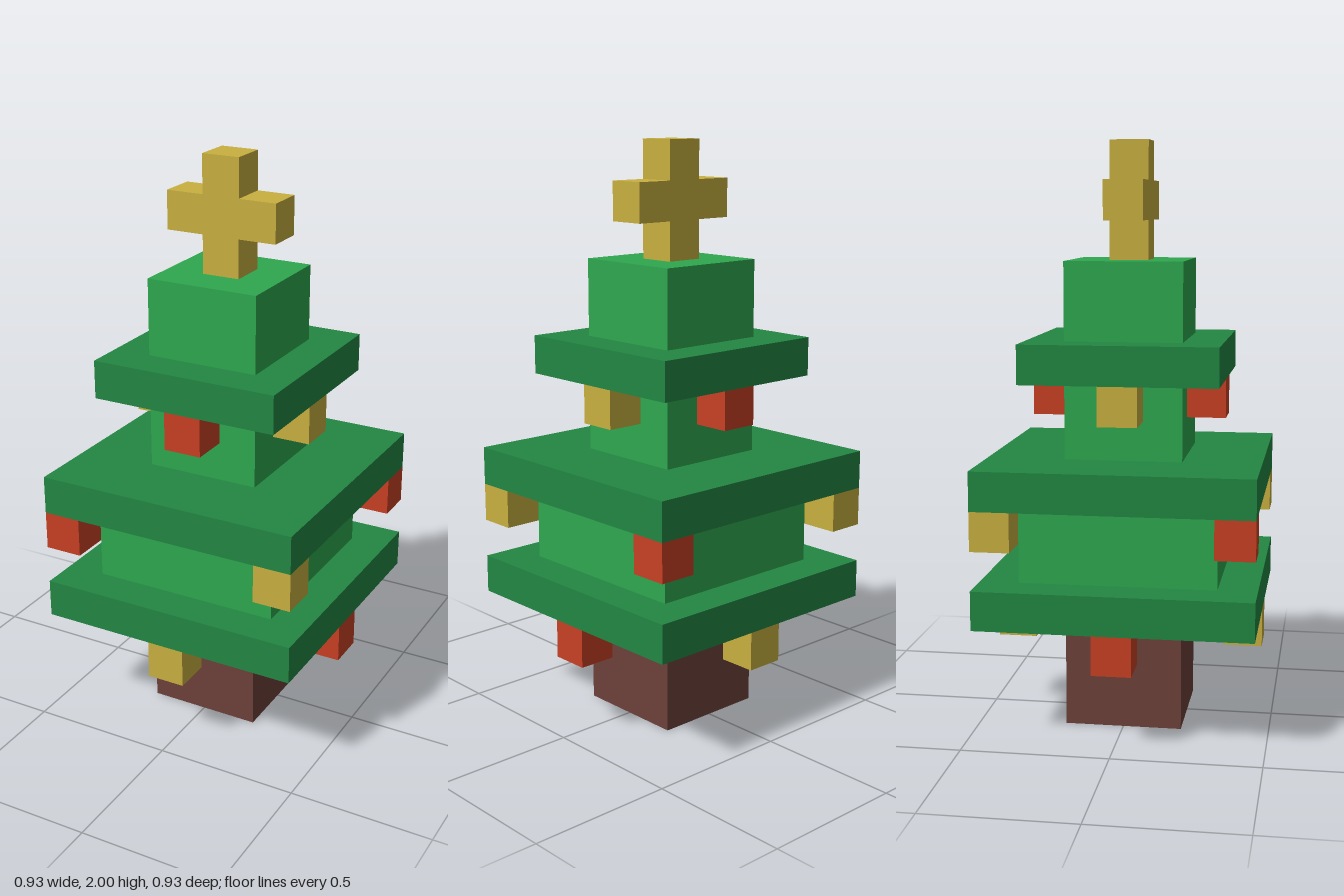
import * as THREE from 'three';

const U = 2 / 15; // one block

const mat = (name, color) => {
  const m = new THREE.MeshStandardMaterial({ color });
  m.name = name;
  return m;
};

export function createModel() {
  const tree = new THREE.Group();
  tree.name = 'blockTree';
  const lightGreen = mat('lightGreen', 0x2ea84f);
  const darkGreen = mat('darkGreen', 0x228743);
  const brown = mat('barkBrown', 0x6d413a);
  const gold = mat('gold', 0xc9b040);
  const red = mat('red', 0xc84023);

  // Square block: width and height in units, standing on level y
  const block = (name, material, width, y, height, x = 0, z = 0) => {
    const mesh = new THREE.Mesh(new THREE.BoxGeometry(width * U, height * U, width * U), material);
    mesh.position.set(x * U, (y + height / 2) * U, z * U);
    mesh.name = name;
    tree.add(mesh);
  };

  // Trunk and foliage, stacked from the ground up
  block('trunk', brown, 3, 0, 3);
  block('lowerBranches', darkGreen, 7, 3, 1);
  block('lowerFoliage', lightGreen, 5, 4, 2);
  block('middleBranches', darkGreen, 7, 6, 1);
  block('middleFoliage', lightGreen, 3, 7, 2);
  block('upperBranches', darkGreen, 5, 9, 1);
  block('crownFoliage', lightGreen, 3, 10, 2);

  // Ornaments hanging under each layer of branches, mirrored in pairs
  for (const s of [-1, 1]) {
    block('lowerOrnament', gold, 1, 2, 1, 0, 3 * s);
    block('lowerOrnament', red, 1, 2, 1, 3 * s, 0);
    block('cornerOrnament', gold, 1, 5, 1, 3 * s, 3 * s);
    block('cornerOrnament', red, 1, 5, 1, 3 * s, -3 * s);
    block('upperOrnament', red, 1, 8, 1, 0, 2 * s);
    block('upperOrnament', gold, 1, 8, 1, 2 * s, 0);
  }

  // Cross-shaped topper: one corner outline turned four times
  const points = [];
  for (let i = 0; i < 4; i++) {
    for (const [x, y] of [[1.5, -0.5], [1.5, 0.5], [0.5, 0.5]]) {
      points.push(new THREE.Vector2(x * U, y * U).rotateAround(new THREE.Vector2(), i * Math.PI / 2));
    }
  }
  const geometry = new THREE.ExtrudeGeometry(new THREE.Shape(points), { depth: U, bevelEnabled: false });
  geometry.translate(0, 13.5 * U, -U / 2);
  const topper = new THREE.Mesh(geometry, gold);
  topper.name = 'topper';
  tree.add(topper);

  return tree;
}
